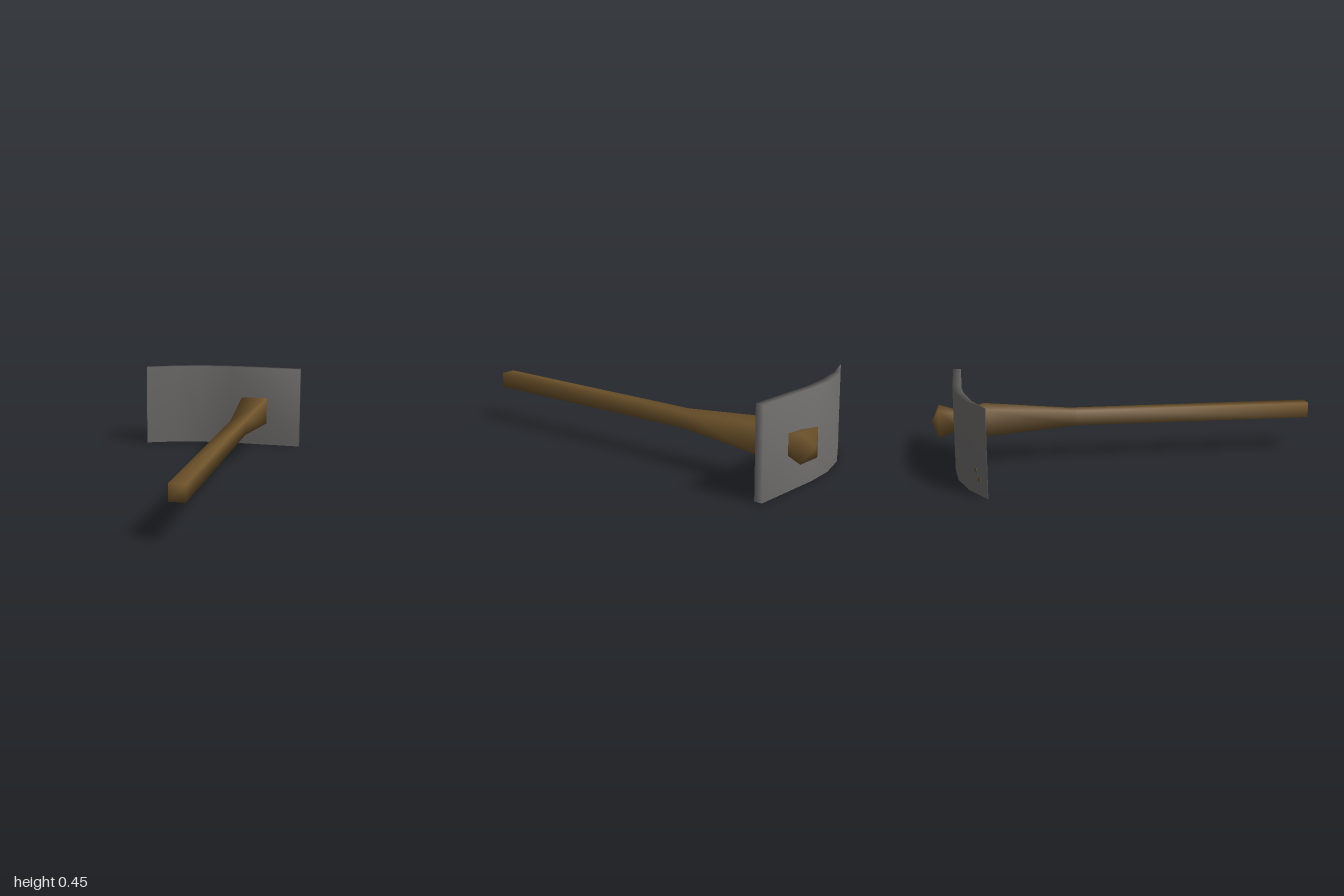
import * as THREE from 'three';
import { mergeVertices } from 'three/addons/utils/BufferGeometryUtils.js';

// Lofts four-sided sections [leftX, leftZ, rightX, rightZ, halfHeight], with smooth shared normals.
function loft(sections, midY) {
  const pos = [], idx = [];
  for (const [lx, lz, rx, rz, h] of sections) {
    pos.push(lx, midY - h, lz, rx, midY - h, rz, rx, midY + h, rz, lx, midY + h, lz);
  }
  idx.push(0, 1, 2, 0, 2, 3);
  for (let i = 0; i < sections.length - 1; i++) {
    for (let j = 0; j < 4; j++) {
      const a = i * 4 + j, b = i * 4 + (j + 1) % 4;
      idx.push(a, a + 4, b, b, a + 4, b + 4);
    }
  }
  const e = (sections.length - 1) * 4;
  idx.push(e, e + 2, e + 1, e, e + 3, e + 2);
  const geo = new THREE.BufferGeometry();
  geo.setAttribute('position', new THREE.Float32BufferAttribute(pos, 3));
  geo.setIndex(idx);
  const merged = mergeVertices(geo, 1e-4);
  merged.computeVertexNormals();
  return merged;
}

export function createModel() {
  const group = new THREE.Group();
  const wood = new THREE.MeshStandardMaterial({ color: 0x71552c });
  wood.name = 'wood';
  const steel = new THREE.MeshStandardMaterial({ color: 0x737170 });
  steel.name = 'steel';

  const add = (name, geo, mat) => {
    const mesh = new THREE.Mesh(geo, mat);
    mesh.name = name;
    group.add(mesh);
    return mesh;
  };

  // Handle: straight shaft, swollen shoulder, neck through the blade, pointed knob
  add('handle', loft([
    [0.44, 0.995, 0.515, 0.977, 0.04],
    [0.168, -0.25, 0.235, -0.295, 0.04],
    [0.032, -0.71, 0.17, -0.75, 0.073],
    [0.032, -0.855, 0.11, -0.85, 0.042],
    [-0.02, -0.948, 0.115, -0.978, 0.073],
    [0.042, -1.0, 0.042, -1.0, 0],
  ], 0.225), wood);

  // Blade: curved plate running from the sharp edge to the blunt end
  add('blade', loft([
    [-0.52, -0.597, -0.518, -0.594, 0.225],
    [-0.39, -0.717, -0.38, -0.69, 0.225],
    [-0.24, -0.802, -0.23, -0.76, 0.225],
    [-0.085, -0.852, -0.075, -0.812, 0.225],
    [0.302, -0.936, 0.312, -0.896, 0.225],
  ], 0.225), steel);

  // Tiny specks set into the thin cutting edge
  for (const [x, y, z] of [[-0.466, 0.08, -0.643], [-0.441, 0.122, -0.666]]) {
    const speck = add('edgeSpeck', new THREE.BoxGeometry(0.02, 0.022, 0.009), wood);
    speck.position.set(x, y, z);
    speck.rotation.y = 0.7;
  }
  return group;
}
